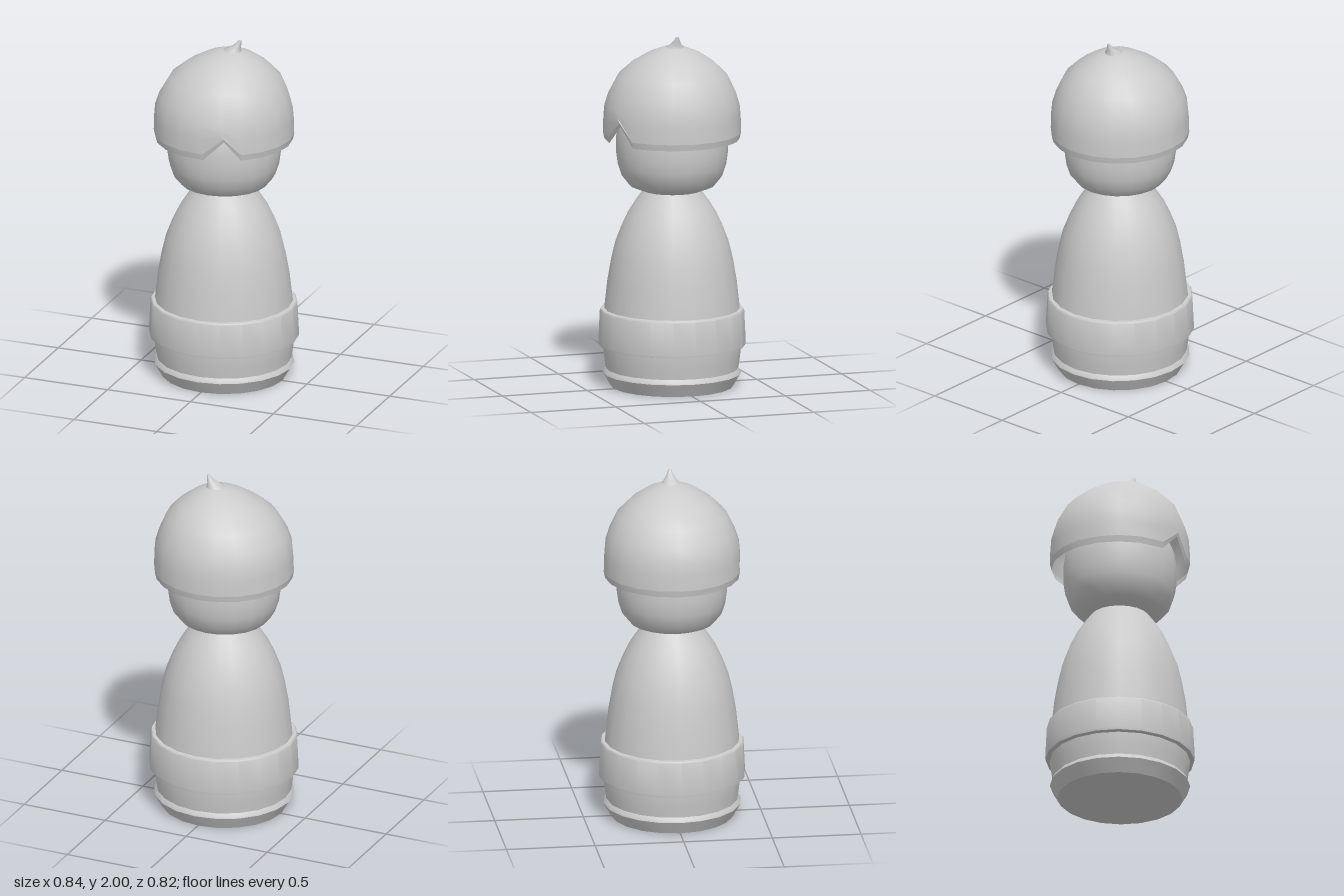
import * as THREE from 'three';
import { toCreasedNormals } from 'three/addons/utils/BufferGeometryUtils.js';

const SIDES = 20;
const DEPTH = 0.975; // the figure is slightly flattened front to back

// Turn a bottom-to-top profile of [radius, y] pairs; edit(v, column, row) may move vertices
function turned(name, profile, { edit, open = false } = {}) {
  const geometry = new THREE.LatheGeometry(profile.map(([r, y]) => new THREE.Vector2(r, y)), SIDES);
  const position = geometry.attributes.position;
  const v = new THREE.Vector3();
  for (let i = 0; i < position.count; i++) {
    v.fromBufferAttribute(position, i);
    v.z *= DEPTH;
    if (edit) edit(v, Math.floor(i / profile.length) % SIDES, i % profile.length);
    position.setXYZ(i, v.x, v.y, v.z);
  }
  const material = new THREE.MeshStandardMaterial({
    color: 0xcccccc,
    side: open ? THREE.DoubleSide : THREE.FrontSide,
  });
  const mesh = new THREE.Mesh(toCreasedNormals(geometry, THREE.MathUtils.degToRad(32)), material);
  mesh.name = name;
  return mesh;
}

// Raise one rim corner into a pointed parting at the front
function parting(v, column, height) {
  if (column === 0) v.x += 0.025;
  if (column === 1) {
    v.x += 0.022;
    v.z -= 0.008;
    v.y = height;
  }
}

export function createModel() {
  const group = new THREE.Group();
  group.name = 'pegDoll';

  // Bell-shaped body on a flared foot
  group.add(turned('foot', [[0, 0], [0.352, 0], [0.396, 0.075], [0.394, 0.082], [0.38, 0.102], [0.3, 0.104]]));
  group.add(turned('body', [
    [0.378, 0.09], [0.388, 0.16], [0.396, 0.225], [0.397, 0.34], [0.388, 0.44], [0.37, 0.6], [0.349, 0.72],
    [0.325, 0.82], [0.29, 0.91], [0.252, 0.99], [0.21, 1.055], [0.165, 1.115], [0, 1.115],
  ]));

  // Wide belt around the lower body
  group.add(turned('belt', [
    [0.39, 0.228], [0.42, 0.234], [0.422, 0.248], [0.413, 0.432], [0.408, 0.44], [0.38, 0.443],
  ]));

  // Head, closed beneath the hair
  group.add(turned('head', [
    [0, 1.113], [0.165, 1.113], [0.245, 1.143], [0.288, 1.195], [0.31, 1.26], [0.32, 1.33], [0.32, 1.42],
    [0.306, 1.51], [0.265, 1.6], [0.19, 1.67], [0.1, 1.71], [0, 1.72],
  ]));

  // Hollow cap of hair, its crown leaning a little to the left
  group.add(turned('hair', [
    [0.395, 1.443], [0.393, 1.53], [0.387, 1.6], [0.365, 1.67], [0.315, 1.77], [0.24, 1.84],
    [0.147, 1.9], [0.06, 1.935], [0, 1.94],
  ], {
    open: true,
    edit: (v, column, row) => {
      if (row === 0) parting(v, column, 1.54);
      else if (row === 1 && column === 1) v.y = 1.57;
      v.x += 0.04 * Math.max(0, (v.y - 1.6) / 0.34) ** 2;
    },
  }));
  group.add(turned('hairRim', [[0.387, 1.407], [0.395, 1.443]], {
    open: true,
    edit: (v, column, row) => parting(v, column, row ? 1.54 : 1.52),
  }));

  // Curled tuft on the crown, swept to the left as it rises
  group.add(turned('tuft', [[0.065, 1.915], [0.055, 1.932], [0.033, 1.955], [0.016, 1.98], [0.008, 2], [0, 2]], {
    edit: (v) => { v.x += 0.046 + 0.05 * Math.min(1, Math.max(0, (v.y - 1.93) / 0.06)); },
  }));

  return group;
}
